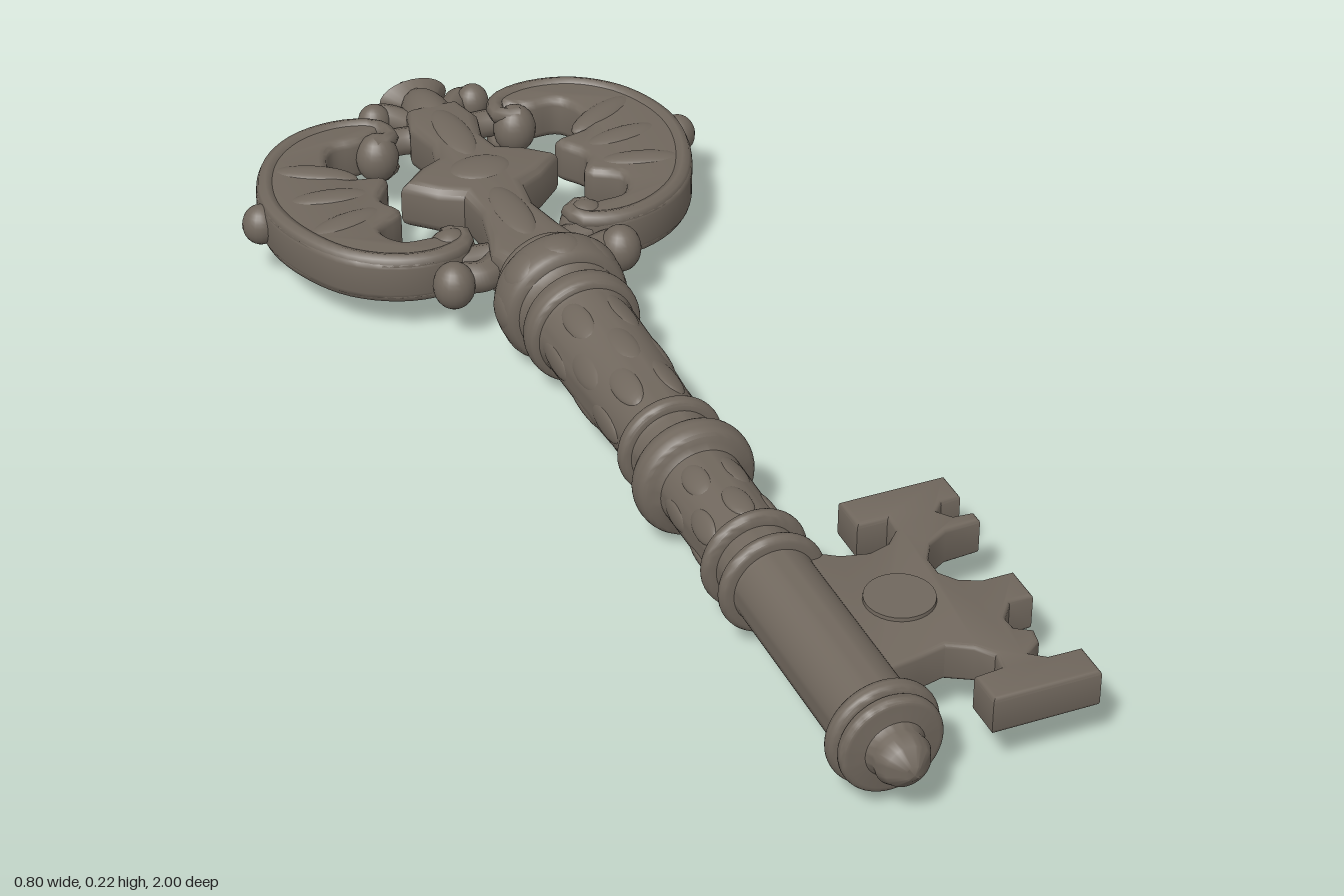
import * as THREE from 'three';
import { toCreasedNormals } from 'three/addons/utils/BufferGeometryUtils.js';

const CY = 0.107; // height of the key's long axis

export function createModel() {
  const key = new THREE.Group();
  key.name = 'ornateKey';
  const iron = new THREE.MeshStandardMaterial({ color: 0x70675d });
  iron.name = 'agedIron';

  const add = (name, geo, parent = key) => {
    const m = new THREE.Mesh(geo, iron);
    m.name = name;
    parent.add(m);
    return m;
  };
  // Outline in x,z turned into a horizontal plate with softened edges
  const plate = (name, pts, thick, bevel, { smooth = 0, side = 1, parent = key } = {}) => {
    let v = pts.map(([x, z]) => new THREE.Vector3(x * side, -z, 0));
    if (smooth) v = new THREE.CatmullRomCurve3(v, true, 'centripetal').getPoints(smooth).slice(0, -1);
    const shape = new THREE.Shape(v.map(p => new THREE.Vector2(p.x, p.y)));
    const g = new THREE.ExtrudeGeometry(shape, {
      depth: thick - 2 * bevel, bevelEnabled: true, bevelThickness: bevel,
      bevelSize: bevel, bevelOffset: -bevel, bevelSegments: 3,
    });
    g.translate(0, 0, -(thick - 2 * bevel) / 2).rotateX(-Math.PI / 2);
    const m = add(name, toCreasedNormals(g, 0.75), parent);
    m.position.y = CY;
    return m;
  };
  const blob = (name, x, z, rx, ry, rz, { turn = 0, y = 0, parent = key } = {}) => {
    const m = add(name, new THREE.SphereGeometry(1, 20, 14), parent);
    m.scale.set(rx, ry, rz);
    m.position.set(x, CY + y, z);
    m.rotation.y = turn;
    return m;
  };
  const cord = (name, pts, r, { side = 1, y = 0, parent = key } = {}) => {
    const c = new THREE.CatmullRomCurve3(pts.map(([x, z]) => new THREE.Vector3(x * side, CY + y, z)));
    return add(name, new THREE.TubeGeometry(c, 48, r, 8), parent);
  };

  // Turned shaft with rounded collars, from the bow end to the tip
  const profile = [];
  const pt = (r, z) => profile.push(new THREE.Vector2(r, z));
  const collar = (z, base, r, half) => {
    for (let i = 0; i <= 10; i++) {
      const a = Math.PI * i / 10;
      pt(base + (r - base) * Math.pow(Math.sin(a), 0.6), z - half * Math.cos(a));
    }
  };
  pt(0, -0.36); pt(0.05, -0.355); pt(0.058, -0.345);
  collar(-0.327, 0.065, 0.085, 0.015);
  pt(0.075, -0.312);
  collar(-0.273, 0.085, 0.106, 0.038);
  pt(0.083, -0.232); pt(0.078, -0.215);
  collar(-0.185, 0.08, 0.095, 0.022);
  pt(0.078, -0.155); pt(0.075, 0); pt(0.067, 0.14);
  collar(0.163, 0.068, 0.084, 0.013);
  pt(0.066, 0.185); pt(0.068, 0.218);
  collar(0.25, 0.075, 0.095, 0.025);
  pt(0.066, 0.282); pt(0.064, 0.45);
  collar(0.468, 0.064, 0.083, 0.012);
  pt(0.064, 0.49); pt(0.064, 0.515);
  collar(0.53, 0.064, 0.083, 0.012);
  pt(0.063, 0.55); pt(0.063, 0.875);
  collar(0.893, 0.068, 0.085, 0.014);
  collar(0.919, 0.068, 0.078, 0.011);
  pt(0.045, 0.934); pt(0.04, 0.945); pt(0.042, 0.958); pt(0.034, 0.974); pt(0.012, 0.991); pt(0, 0.995);
  const shaftGeo = new THREE.LatheGeometry(profile, 48).rotateX(Math.PI / 2);
  add('shaft', toCreasedNormals(shaftGeo, 0.7)).position.y = CY;

  // Low leaf relief wrapped around the shaft and lobes on the main collar
  const relief = (name, z, r, n, size, phase) => {
    for (let i = 0; i < n; i++) {
      const a = (i + phase) / n * Math.PI * 2;
      const m = blob(name, Math.cos(a) * r, z, ...size, { y: Math.sin(a) * r });
      m.rotation.set(0, 0, a);
    }
  };
  relief('collarLobe', -0.273, 0.094, 8, [0.014, 0.034, 0.034], 0);
  [-0.11, -0.02, 0.07].forEach((z, i) => relief('shaftLeaf', z, 0.072 - i * 0.003, 6, [0.009, 0.022, 0.055], i % 2 / 2));
  [0.33, 0.41].forEach((z, i) => relief('shaftLeaf', z, 0.061, 6, [0.008, 0.02, 0.04], i / 2));

  // Bit with its notched teeth and round boss
  plate('bit', [
    [0.03, 0.52], [0.07, 0.525], [0.1, 0.545], [0.14, 0.555], [0.175, 0.545], [0.2, 0.52], [0.2, 0.492],
    [0.152, 0.492], [0.152, 0.428], [0.322, 0.428], [0.322, 0.482], [0.29, 0.485], [0.275, 0.503],
    [0.29, 0.522], [0.322, 0.525], [0.322, 0.546], [0.265, 0.55], [0.23, 0.57], [0.212, 0.6], [0.212, 0.635],
    [0.23, 0.66], [0.26, 0.674], [0.31, 0.674], [0.31, 0.735], [0.272, 0.737], [0.25, 0.765], [0.252, 0.79],
    [0.275, 0.805], [0.27, 0.83], [0.245, 0.85], [0.265, 0.865], [0.318, 0.866], [0.318, 0.925],
    [0.152, 0.925], [0.152, 0.866], [0.195, 0.862], [0.2, 0.835], [0.18, 0.81], [0.145, 0.79],
    [0.1, 0.8], [0.03, 0.81],
  ], 0.062, 0.007);
  const boss = add('bitBoss', new THREE.CylinderGeometry(0.052, 0.058, 0.074, 32));
  boss.position.set(0.132, CY, 0.672);

  // Bow: a pair of mirrored crescent scrolls
  for (const side of [1, -1]) {
    const half = new THREE.Group();
    half.name = side > 0 ? 'leftBowScroll' : 'rightBowScroll';
    key.add(half);
    const o = { side, parent: half };
    plate('crescent', [
      [0.1, -0.82], [0.16, -0.862], [0.24, -0.85], [0.31, -0.8], [0.353, -0.72], [0.364, -0.64], [0.345, -0.55],
      [0.295, -0.46], [0.22, -0.41], [0.15, -0.4], [0.09, -0.43], [0.13, -0.465], [0.19, -0.475], [0.21, -0.52],
      [0.16, -0.56], [0.178, -0.605], [0.148, -0.665], [0.215, -0.69], [0.222, -0.74], [0.2, -0.785], [0.145, -0.79],
    ], 0.075, 0.014, { smooth: 110, ...o });
    // Raised rims on both faces, following the outer edge into the curls
    for (const y of [0.028, -0.028]) {
      cord('rim', [
        [0.13, -0.775], [0.098, -0.785], [0.105, -0.825], [0.16, -0.848], [0.24, -0.836], [0.302, -0.787], [0.338, -0.715],
        [0.348, -0.64], [0.33, -0.555], [0.283, -0.472], [0.215, -0.425], [0.15, -0.415], [0.1, -0.435], [0.095, -0.47], [0.125, -0.468],
      ], 0.015, { y, ...o });
      // Carved leaf veins across the broad part of the crescent
      [[-0.72, 0.5], [-0.64, 0.15], [-0.56, -0.25]].forEach(([z, t]) =>
        blob('leafVein', side * 0.255, z, 0.075, 0.016, 0.026, { y, turn: side * t, parent: half }));
    }
    blob('upperCurl', side * 0.122, -0.782, 0.036, 0.043, 0.034, { parent: half });
    blob('lowerCurl', side * 0.115, -0.455, 0.042, 0.045, 0.038, { parent: half });
    blob('sideBead', side * 0.366, -0.66, 0.03, 0.034, 0.03, { parent: half });
    const point = add('beadPoint', new THREE.ConeGeometry(0.02, 0.022, 16).rotateZ(-side * Math.PI / 2), half);
    point.position.set(side * 0.387, CY, -0.66);
    // Scrolls at the foot of the bow
    cord('footScroll', [[0.03, -0.45], [0.055, -0.4], [0.09, -0.378], [0.135, -0.385], [0.15, -0.365]], 0.026, o);
    blob('footCurl', side * 0.142, -0.37, 0.034, 0.04, 0.034, { parent: half });
    // Leaves of the crown
    cord('crownLeaf', [[0.02, -0.8], [0.035, -0.86], [0.07, -0.905], [0.095, -0.895]], 0.022, o);
    blob('crownLeafTip', side * 0.088, -0.892, 0.028, 0.032, 0.026, { parent: half });
    cord('upperBridge', [[0.02, -0.8], [0.06, -0.815], [0.11, -0.815]], 0.024, o);
    cord('lowerBridge', [[0.02, -0.41], [0.06, -0.425], [0.11, -0.43]], 0.024, o);
  }

  // Central stem of the bow with its pointed cross piece
  const stem = [
    [0.052, -0.33], [0.075, -0.38], [0.06, -0.43], [0.045, -0.5], [0.052, -0.56], [0.09, -0.58], [0.137, -0.625],
    [0.09, -0.668], [0.055, -0.685], [0.045, -0.73], [0.06, -0.79], [0.045, -0.85],
  ];
  const mirrored = half => [...half, ...half.map(([x, z]) => [-x, z]).reverse()];
  plate('bowStem', mirrored(stem), 0.084, 0.018);
  for (const y of [0.036, -0.036]) {
    blob('stemLeaf', 0, -0.48, 0.03, 0.014, 0.085, { y });
    blob('stemLeaf', 0, -0.625, 0.055, 0.014, 0.04, { y });
    blob('stemLeaf', 0, -0.745, 0.03, 0.014, 0.085, { y });
  }

  // Crown finial: a swelling leaf ending in a four-sided point
  blob('crownHeart', 0, -0.86, 0.042, 0.044, 0.085);
  const tip = new THREE.LatheGeometry(
    [[0, -1], [0.03, -0.97], [0.06, -0.943], [0.035, -0.915], [0.025, -0.88]].map(p => new THREE.Vector2(...p)), 24);
  const finial = add('crownPoint', toCreasedNormals(tip.rotateX(Math.PI / 2), 0.6));
  finial.scale.y = 0.6;
  finial.position.y = CY;

  return key;
}
